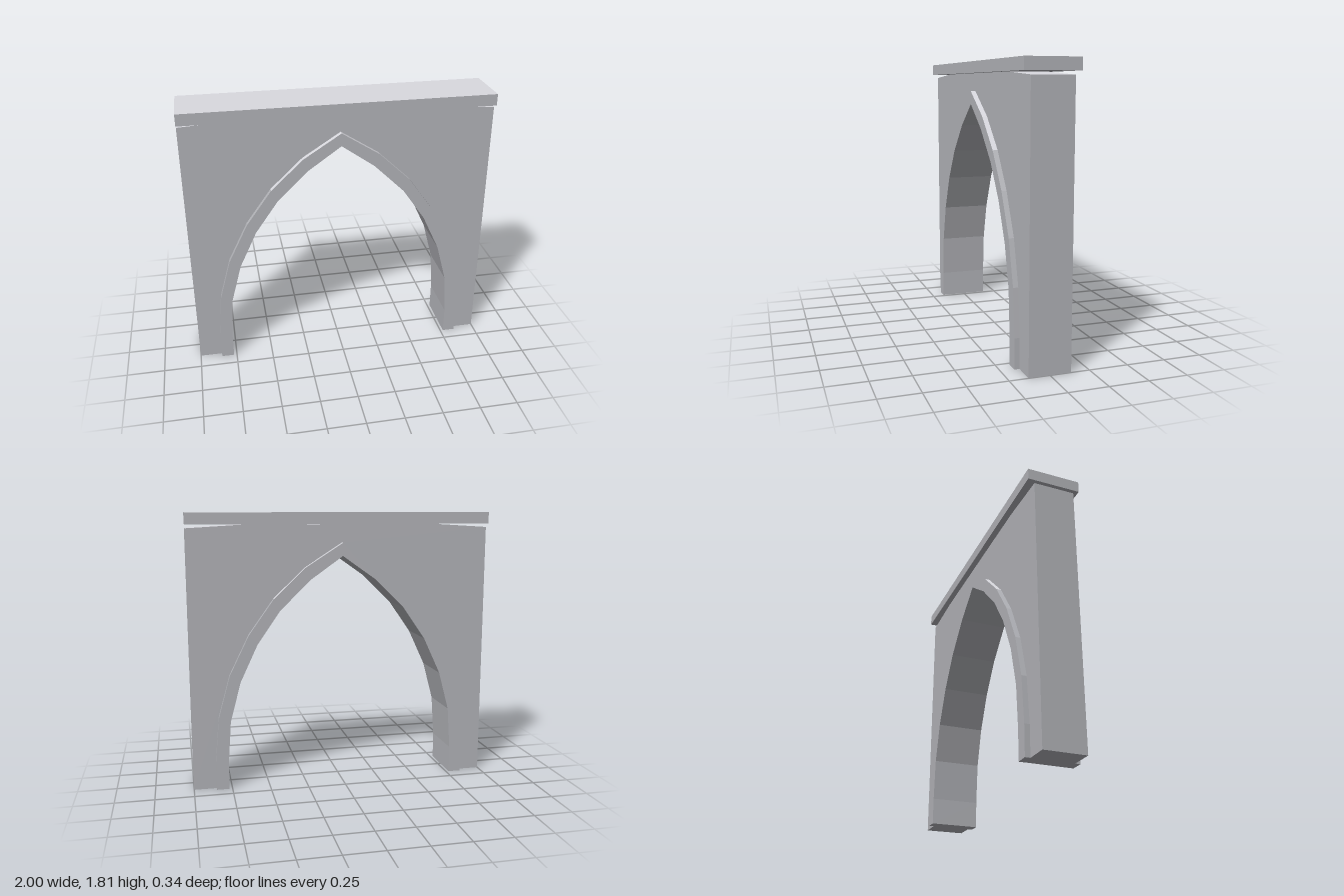
import * as THREE from 'three';

// Right half of each pointed arch, from the foot to the apex
const INNER = [[0.77, 0], [0.77, 0.18], [0.75, 0.46], [0.68, 0.72], [0.565, 0.965], [0.415, 1.18], [0.215, 1.375], [0, 1.527]];
const OUTER = [[0.853, 0], [0.853, 0.19], [0.826, 0.487], [0.749, 0.765], [0.62, 1.027], [0.455, 1.257], [0.246, 1.455], [0, 1.612]];
// Right half of the wall outline, slightly dropped at the ends
const WALL = [[1, 0], [1, 1.708], [0.63, 1.73]];

// Full run from the right foot over the top to the left foot
function mirrored(half) {
  const left = half.filter(([x]) => x > 0).map(([x, y]) => [-x, y]).reverse();
  return [...half, ...left];
}

// Band between two runs, extruded and centred on z = 0
function band(outside, inside, depth) {
  const outline = [...mirrored(outside), ...mirrored(inside).reverse()];
  const shape = new THREE.Shape(outline.map(([x, y]) => new THREE.Vector2(x, y)));
  const geometry = new THREE.ExtrudeGeometry(shape, { depth, bevelEnabled: false });
  return geometry.translate(0, 0, -depth / 2);
}

// Mesh whose upward faces take the second material
function stonePart(name, geometry, materials) {
  const normal = geometry.attributes.normal;
  geometry.clearGroups();
  for (let i = 0; i < normal.count; i += 3) {
    geometry.addGroup(i, 3, normal.getY(i) > 0.65 ? 1 : 0);
  }
  const mesh = new THREE.Mesh(geometry, materials);
  mesh.name = name;
  return mesh;
}

export function createModel() {
  const group = new THREE.Group();
  group.name = 'pointedArch';
  const stone = new THREE.MeshStandardMaterial({ color: 0xb4b5ba });
  stone.name = 'grey stone';
  const paleStone = new THREE.MeshStandardMaterial({ color: 0xd9d9df });
  paleStone.name = 'pale top stone';
  const materials = [stone, paleStone];

  // Wall and the projecting arch ring that lines its opening
  group.add(stonePart('wall', band(WALL, OUTER, 0.265), materials));
  group.add(stonePart('archRing', band(OUTER, INNER, 0.33), materials));

  // Coping slab along the top
  const slab = new THREE.BoxGeometry(2, 0.075, 0.345).toNonIndexed();
  slab.translate(0, 1.7685, 0);
  group.add(stonePart('coping', slab, materials));
  return group;
}
